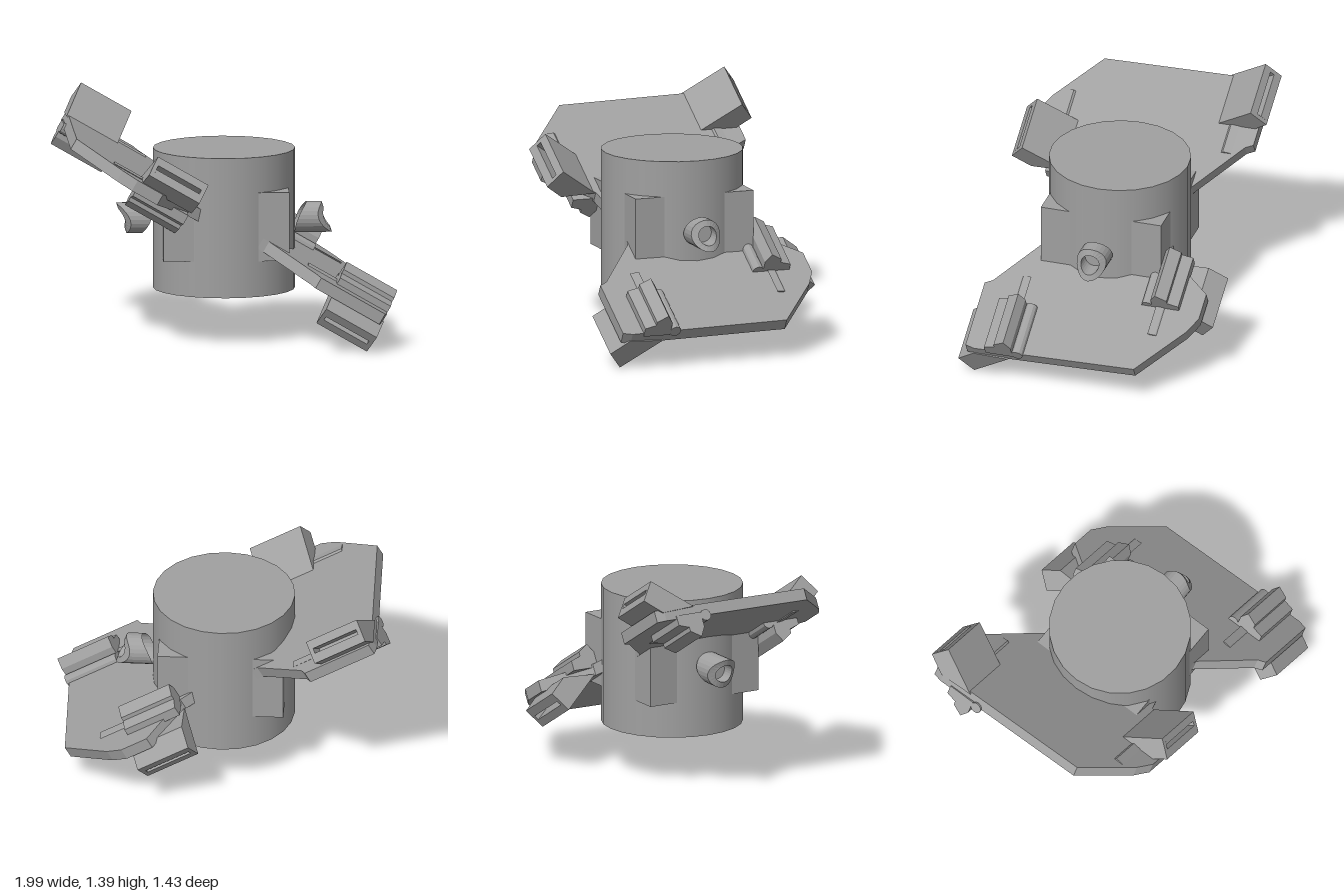
import * as THREE from 'three';

// Flat-shaded geometry with plain triangles
function flat(geo) {
  const g = geo.index ? geo.toNonIndexed() : geo;
  g.deleteAttribute('uv');
  g.clearGroups();
  g.computeVertexNormals();
  return g;
}

// Point reflection through the origin, with triangle order reversed
function inverted(geo) {
  const g = geo.clone().scale(-1, -1, -1);
  const p = g.attributes.position, a = new THREE.Vector3(), b = new THREE.Vector3();
  for (let i = 0; i < p.count; i += 3) {
    a.fromBufferAttribute(p, i + 1);
    b.fromBufferAttribute(p, i + 2);
    p.setXYZ(i + 1, b.x, b.y, b.z);
    p.setXYZ(i + 2, a.x, a.y, a.z);
  }
  g.computeVertexNormals();
  return g;
}

// Extrudes a (z, y) profile along x from x0 to x1
function alongX(profile, x0, x1) {
  const shape = new THREE.Shape(profile.map(([z, y]) => new THREE.Vector2(-z, y)));
  const g = new THREE.ExtrudeGeometry(shape, { depth: x1 - x0, bevelEnabled: false });
  return g.rotateY(Math.PI / 2).translate(x0, 0, 0);
}

export function createModel() {
  const root = new THREE.Group();
  root.name = 'model';
  const grey = new THREE.MeshStandardMaterial({ color: 0xa0a0a0, side: THREE.DoubleSide });
  grey.name = 'grey';

  const add = (parent, name, geo) => {
    const mesh = new THREE.Mesh(geo, grey);
    mesh.name = name;
    parent.add(mesh);
  };
  // Each side part has a point-reflected twin
  const addPair = (parent, name, geo) => {
    const g = flat(geo);
    add(parent, name + 'Left', g);
    add(parent, name + 'Right', inverted(g));
  };

  const centre = new THREE.Group();
  centre.name = 'assembly';
  centre.position.y = 0.7;
  root.add(centre);

  // Central drum and the square block showing at its corners
  add(centre, 'drum', new THREE.CylinderGeometry(0.415, 0.415, 0.825, 24));
  add(centre, 'cornerBlock', new THREE.BoxGeometry(0.735, 0.405, 0.735));

  // Short hollow nozzles with slanted root and cut mouth
  const profile = [[0, 0.09], [0.055, 0.09], [0.055, 0.22], [0.09, 0.22], [0.09, 0]]
    .map(([r, h]) => new THREE.Vector2(r, h));
  const nozzle = new THREE.LatheGeometry(profile, 24).rotateZ(-Math.PI / 2);
  const np = nozzle.attributes.position;
  for (let i = 0; i < np.count; i++) {
    const t = (np.getY(i) / 0.09 + 1) / 2;
    const x = np.getX(i);
    if (x > 0.2) {
      const side = Math.abs(np.getZ(i)) / 0.09;
      np.setX(i, x - 0.06 * t - 0.05 * side * side);
    } else if (x < 0.01) np.setX(i, 0.07 * t * t);
  }
  addPair(centre, 'nozzle', nozzle.translate(0.41, 0, 0));

  // Tilted frame holding the wings
  const tilt = new THREE.Group();
  tilt.name = 'wings';
  tilt.rotation.z = -Math.PI / 6;
  centre.add(tilt);

  const outline = [
    [0.1, 0.36], [0.26, 0.37], [0.575, 0.61], [0.6, 0.655], [1.03, 0.655], [1.045, 0.6],
    [1.02, -0.37], [0.72, -0.61], [0.62, -0.66], [0.45, -0.66], [0.24, -0.4], [0.1, -0.36],
  ];
  const wingShape = new THREE.Shape(outline.map(([u, z]) => new THREE.Vector2(u, -z)));
  const wing = new THREE.ExtrudeGeometry(wingShape, { depth: 0.07, bevelEnabled: false });
  addPair(tilt, 'wing', wing.rotateX(-Math.PI / 2).translate(0, -0.02, 0));

  // Edge pod: slotted lower plate, stepped upper block, roller and arm
  const u0 = 0.71, u1 = 1.05, wall = 0.025;
  const plate = [[0.4, -0.01], [0.635, -0.197], [0.715, -0.087], [0.61, 0]];
  const slotted = [
    [0.4, -0.01], [0.635, -0.197], [0.665, -0.156], [0.587, -0.094],
    [0.605, -0.07], [0.683, -0.132], [0.715, -0.087], [0.61, 0],
  ];
  const block = [
    [0.53, 0.03], [0.53, 0.09], [0.465, 0.11], [0.465, 0.135],
    [0.4, 0.175], [0.365, 0.12], [0.365, 0.03],
  ];
  const arm = [[0.39, 0.06], [0.435, 0.055], [0.54, -0.024], [0.49, -0.03]];
  const podParts = {
    plateMiddle: () => alongX(slotted, u0 + wall, u1 - wall),
    plateInnerEnd: () => alongX(plate, u0, u0 + wall),
    plateOuterEnd: () => alongX(plate, u1 - wall, u1),
    upperBlock: () => alongX(block, u0, u1),
    roller: () => new THREE.CylinderGeometry(0.034, 0.034, u1 - u0, 12)
      .rotateZ(Math.PI / 2).translate((u0 + u1) / 2, 0.052, 0.335),
    arm: () => alongX(arm, 0.52, u0),
  };
  for (const [name, make] of Object.entries(podParts)) {
    addPair(tilt, name + 'Front', make());
    // The second pod is the first turned half a turn about the wing middle
    addPair(tilt, name + 'Rear', make().rotateY(Math.PI).translate(1.295, 0, 0));
  }

  return root;
}
